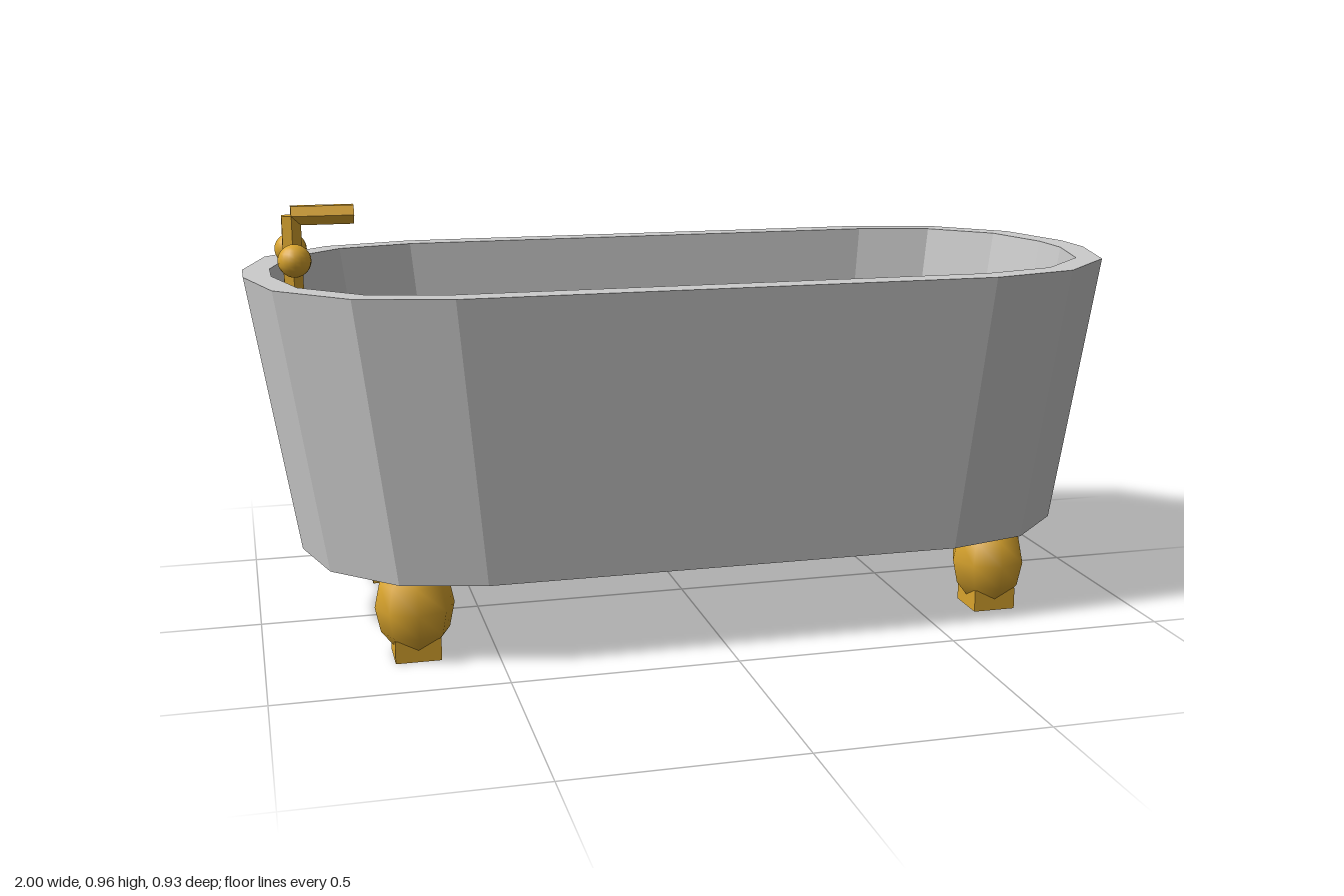
import * as THREE from 'three';
import { mergeVertices } from 'three/addons/utils/BufferGeometryUtils.js';

const BOTTOM = 0.19, TOP = 0.815, WATER = 0.59;
const taper = (y) => 0.9 + 0.1 * (y - BOTTOM) / (TOP - BOTTOM);

// Rounded-rectangle loop of the tub at height y, inset from the outer wall
function loop(y, inset) {
  const r = 0.41 - inset, s = taper(y), points = [];
  for (const [sx, sz, start] of [[1, 1, 0], [-1, 1, 90], [-1, -1, 180], [1, -1, 270]]) {
    for (let k = 0; k <= 3; k++) {
      const a = THREE.MathUtils.degToRad(start + k * 30);
      points.push(new THREE.Vector3((sx * 0.59 + r * Math.cos(a)) * s, y, (sz * 0.057 + r * Math.sin(a)) * s));
    }
  }
  return points;
}

const centre = (y) => Array.from({ length: 16 }, () => new THREE.Vector3(0, y, 0));

// Flat-faced skin between successive loops
function loft(loops) {
  const points = [];
  for (let n = 0; n < loops.length - 1; n++) {
    const a = loops[n], b = loops[n + 1];
    for (let i = 0; i < a.length; i++) {
      const j = (i + 1) % a.length;
      if (a[i].distanceTo(a[j]) > 1e-6) points.push(a[i], b[i], a[j]);
      if (b[i].distanceTo(b[j]) > 1e-6) points.push(a[j], b[i], b[j]);
    }
  }
  const geometry = new THREE.BufferGeometry().setFromPoints(points);
  geometry.computeVertexNormals();
  return geometry;
}

// Lumpy smooth blob of foam
function foamGeometry(seed) {
  let state = seed;
  const random = () => (state = (state * 16807) % 2147483647) / 2147483647;
  let geometry = new THREE.IcosahedronGeometry(0.072, 2);
  geometry.deleteAttribute('normal');
  geometry.deleteAttribute('uv');
  geometry = mergeVertices(geometry, 1e-4);
  const p = geometry.attributes.position;
  for (let i = 0; i < p.count; i++) {
    const k = 0.92 + 0.2 * random();
    p.setXYZ(i, p.getX(i) * k, p.getY(i) * k * 0.65, p.getZ(i) * k);
  }
  geometry.computeVertexNormals();
  return geometry;
}

export function createModel() {
  const model = new THREE.Group();
  model.name = 'bathtub';
  const material = (name, color) => {
    const m = new THREE.MeshStandardMaterial({ color });
    m.name = name;
    return m;
  };
  const enamel = material('enamel', 0xcccccc);
  const gold = material('gold', 0xdaa52e);
  const blue = material('water blue', 0x2f62a8);
  const white = material('foam white', 0xeeeeee);

  const add = (name, geometry, mat, x = 0, y = 0, z = 0) => {
    const mesh = new THREE.Mesh(geometry, mat);
    mesh.name = name;
    mesh.position.set(x, y, z);
    model.add(mesh);
    return mesh;
  };

  // Tub shell: underside, outer wall, rim, inner wall, inner floor
  add('tub', loft([
    centre(BOTTOM), loop(BOTTOM, 0), loop(TOP, 0), loop(TOP, 0.06), loop(0.25, 0.06), centre(0.25),
  ]), enamel);
  add('water', loft([loop(WATER, 0.062), centre(WATER)]), blue);

  // Feet: rounded ball on a square pad
  const ball = new THREE.SphereGeometry(0.087, 8, 6).scale(1, 1.28, 1);
  const pad = new THREE.BoxGeometry(0.1, 0.05, 0.1);
  for (const x of [-0.675, 0.675]) {
    for (const z of [-0.282, 0.282]) {
      add('footBall', ball, gold, x, 0.115, z);
      add('footPad', pad, gold, x, 0.025, z);
    }
  }

  // Tap: hexagonal post and spout with two round handles
  const post = new THREE.CylinderGeometry(0.024, 0.024, 0.2, 6).toNonIndexed();
  const spout = new THREE.CylinderGeometry(0.024, 0.024, 0.137, 6).toNonIndexed();
  post.computeVertexNormals();
  spout.computeVertexNormals();
  add('tapPost', post, gold, -0.89, 0.84, 0);
  add('tapSpout', spout, gold, -0.822, 0.94, 0).rotation.z = -Math.PI / 2;
  for (const z of [-0.1, 0.1]) {
    add('tapHandle', new THREE.SphereGeometry(0.036, 16, 12), gold, -0.89, 0.853, z);
  }

  // Foam floating on the water
  [[-0.255, -0.155], [0.37, -0.13], [0.225, 0.14], [0.5, 0.1]].forEach(([x, z], i) => {
    add('foam', foamGeometry(1234 + i * 777), white, x, WATER, z);
  });

  return model;
}
